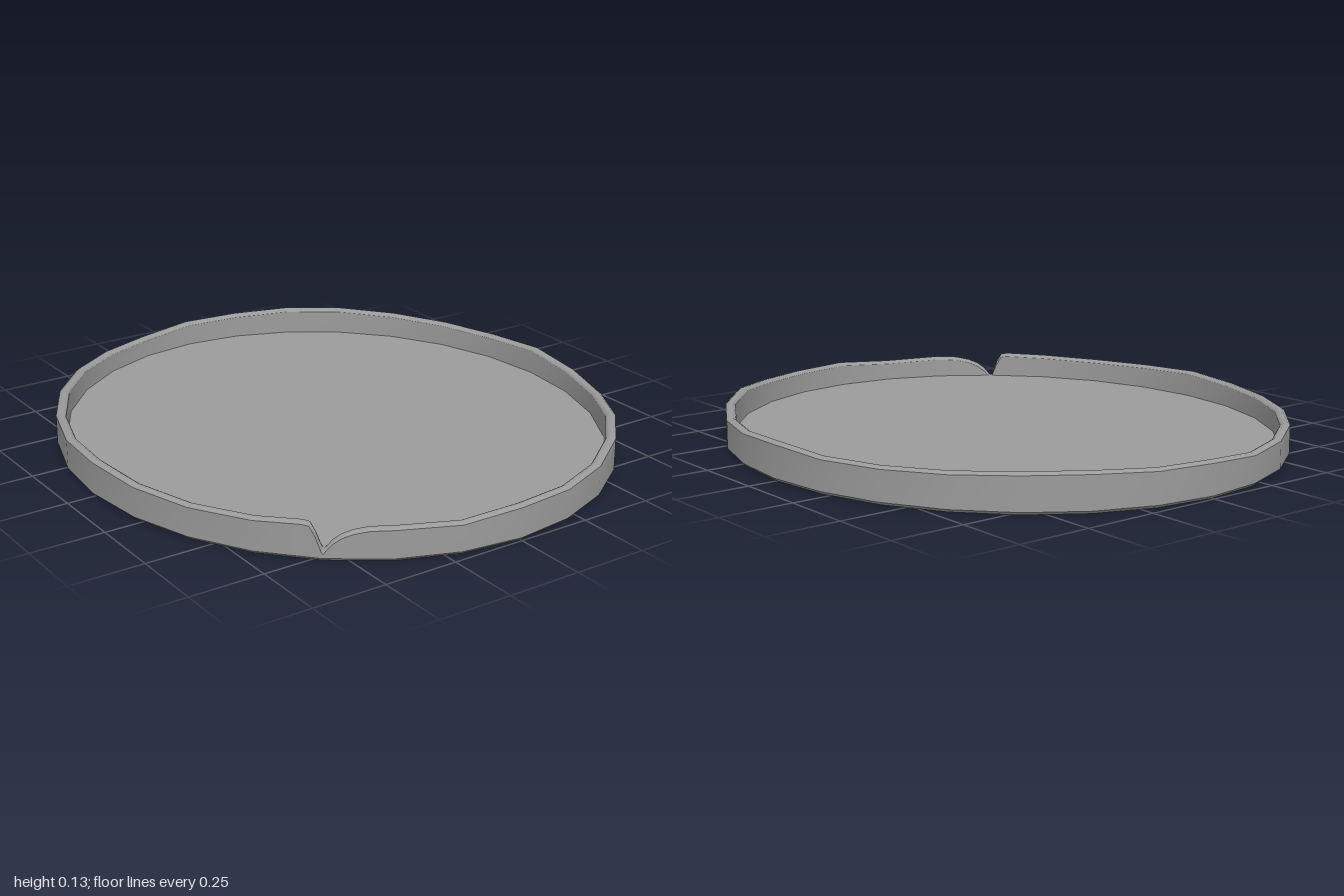
import * as THREE from 'three';
import { mergeGeometries } from 'three/addons/utils/BufferGeometryUtils.js';

const SIDES = 28, RX = 0.909, RZ = 1, FLOOR = 0.035;

// Wavy rim height at each corner, from the front corner round past +x
const RIM = [
  0.117, 0.114, 0.116, 0.126, 0.122, 0.112, 0.116, 0.126, 0.117, 0.118,
  0.122, 0.127, 0.127, 0.12, 0.118, 0.105, 0.108, 0.114, 0.117, 0.114,
  0.116, 0.124, 0.117, 0.114, 0.117,
];
// [position along the ring, rim height]; the last entries cut the torn notch
const STATIONS = [
  ...RIM.map((h, i) => [i, h]),
  [24.7, 0.121], [24.8, 0.117], [24.88, 0.088], [24.97, 0.038], [25, 0.032],
  [25.05, 0.045], [25.12, 0.062], [25.25, 0.082], [25.42, 0.096],
  [25.65, 0.106], [26, 0.109], [27, 0.104],
];

// Point on the many-sided oval, moved inward by inset
function ringPoint(t, inset, y) {
  const corner = (k) => {
    const a = (k / SIDES) * Math.PI * 2;
    return new THREE.Vector3((RX - inset) * Math.sin(a), y, (RZ - inset) * Math.cos(a));
  };
  const k = Math.floor(t);
  return corner(k).lerp(corner(k + 1), t - k);
}

// One smooth band through the given rows; each row gives [inset, y] from rim height
function band(rows) {
  const n = STATIONS.length, positions = [], index = [];
  for (const row of rows) {
    for (const [t, h] of STATIONS) positions.push(...ringPoint(t, ...row(h)).toArray());
  }
  for (let r = 0; r < rows.length - 1; r++) {
    for (let i = 0; i < n; i++) {
      const a = r * n + i, b = r * n + ((i + 1) % n);
      index.push(a, b, b + n, a, b + n, a + n);
    }
  }
  const g = new THREE.BufferGeometry();
  g.setAttribute('position', new THREE.Float32BufferAttribute(positions, 3));
  g.setIndex(index);
  g.computeVertexNormals();
  return g;
}

// Flat oval cap
function disc(inset, y, up) {
  const g = new THREE.CircleGeometry(1, SIDES, Math.PI / 2);
  g.scale(RX - inset, RZ - inset, 1);
  g.rotateX(up ? -Math.PI / 2 : Math.PI / 2);
  g.translate(0, y, 0);
  g.deleteAttribute('uv');
  return g;
}

export function createModel() {
  const group = new THREE.Group();
  const material = new THREE.MeshStandardMaterial({ color: 0x9b9b9b });
  const add = (name, geometry) => {
    const mesh = new THREE.Mesh(geometry, material);
    mesh.name = name;
    group.add(mesh);
  };

  // Row helpers shared between neighbouring bands
  const bottom = () => [0.01, 0];
  const wallFoot = () => [0, 0.01];
  const wallTop = (h) => [0, h - 0.008];
  const rimOuter = (h) => [0.009, h - 0.001];
  const rimInner = (h) => [0.02, Math.max(h, FLOOR)];
  const rimShoulder = (h) => [0.029, Math.max(h - 0.005, FLOOR)];
  const innerTop = (h) => [0.033, Math.max(h - 0.011, FLOOR)];
  const innerFoot = () => [0.035, FLOOR];

  add('base', mergeGeometries([disc(0.01, 0, false), band([bottom, wallFoot])]));
  add('outerWall', band([wallFoot, wallTop]));
  add('rim', band([wallTop, rimOuter, rimInner, rimShoulder, innerTop]));
  add('innerWall', band([innerTop, innerFoot]));
  add('floor', disc(0.035, FLOOR, true));
  return group;
}
